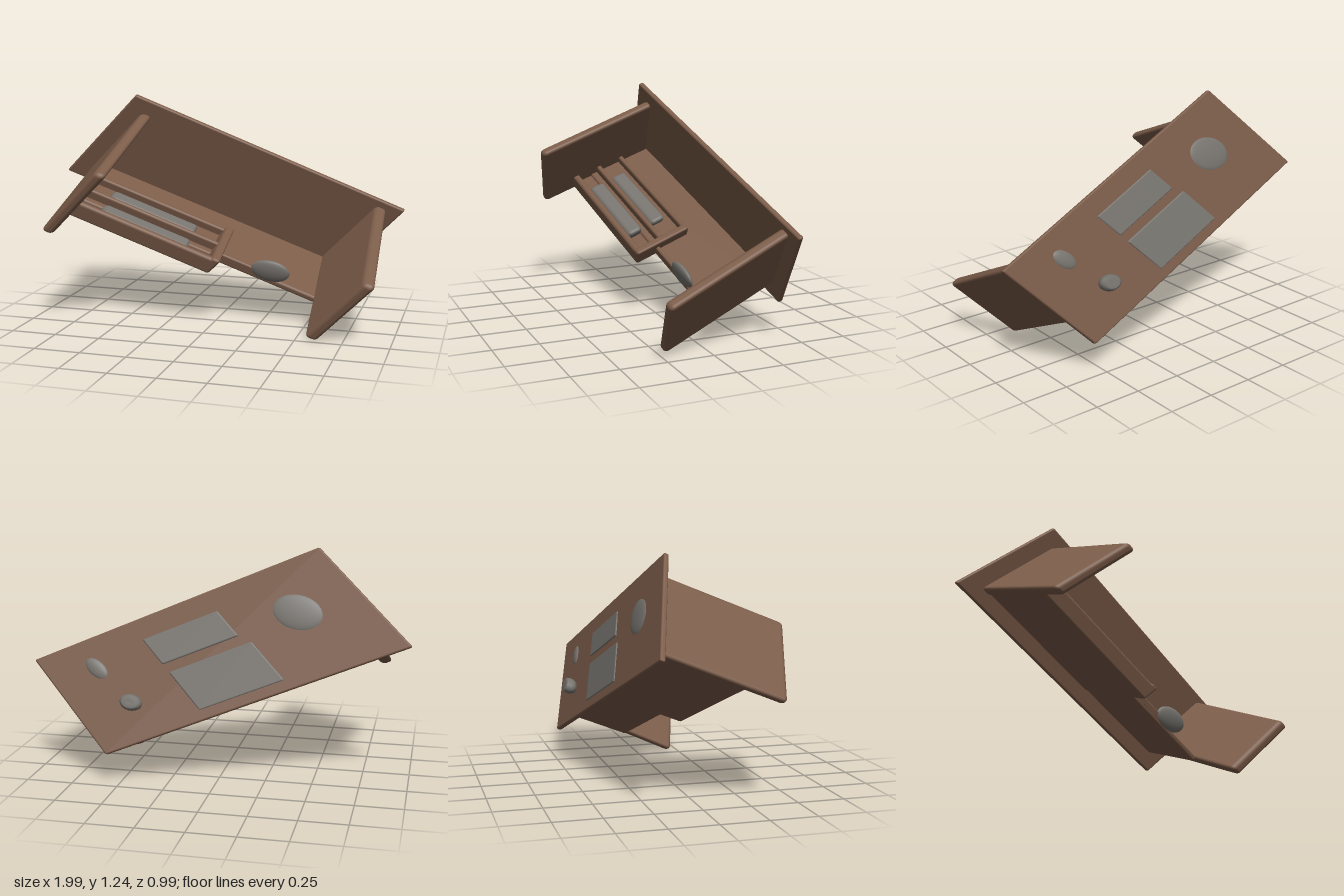
import * as THREE from 'three';
import { RoundedBoxGeometry } from 'three/addons/geometries/RoundedBoxGeometry.js';

// Desk axes: U along the desk, V from its back edge to its front, W down the legs.
const U = new THREE.Vector3(1.56, -0.613, -0.205);
const V = new THREE.Vector3(0.5, 0.465, 0.16);
const W = new THREE.Vector3(0, -0.26, 0.65);
const taper = new THREE.Vector3(-0.065, -0.01, -0.015); // the far end is a little narrower
const LU = U.length(), LV = V.length(), LW = W.length();
const skew = new THREE.Matrix4()
  .makeBasis(U.clone().normalize(), V.clone().normalize(), W.clone().normalize())
  .setPosition(-1, 0.8, -0.275);

const wood = new THREE.MeshStandardMaterial({ color: 0x7b5c49 });
const grey = new THREE.MeshStandardMaterial({ color: 0x77746f });

export function createModel() {
  const desk = new THREE.Group();
  desk.name = 'tiltedDesk';

  // Adds a geometry that was made in desk axes, skewed and tapered
  function add(name, geo, material) {
    const pos = geo.attributes.position;
    const uv = [];
    for (let i = 0; i < pos.count; i++) uv.push(pos.getX(i) / LU * pos.getY(i) / LV);
    geo.applyMatrix4(skew);
    const p = new THREE.Vector3();
    uv.forEach((k, i) => {
      p.fromBufferAttribute(pos, i).addScaledVector(taper, k);
      pos.setXYZ(i, p.x, p.y, p.z);
    });
    const mesh = new THREE.Mesh(geo, material);
    mesh.name = name;
    desk.add(mesh);
  }

  // Rounded board between two limits on each axis, as fractions of the desk;
  // leanU and leanV slide it sideways on its way down
  function board(name, [u0, u1], [v0, v1], [w0, w1], { material = wood, radius = 0.015, leanU = 0, leanV = 0 } = {}) {
    const size = [(u1 - u0) * LU, (v1 - v0) * LV, (w1 - w0) * LW];
    const r = Math.min(radius, Math.min(...size) * 0.48);
    const geo = new RoundedBoxGeometry(...size, 3, r);
    geo.translate((u0 + u1) / 2 * LU, (v0 + v1) / 2 * LV, (w0 + w1) / 2 * LW);
    geo.applyMatrix4(new THREE.Matrix4().makeShear(0, 0, 0, 0, leanU, leanV));
    add(name, geo, material);
  }

  // Flattened ellipsoid
  function pebble(name, u, v, w, ru, rv, rw) {
    const geo = new THREE.SphereGeometry(1, 24, 16);
    geo.scale(ru * LU, rv * LV, rw * LW);
    geo.translate(u * LU, v * LV, w * LW);
    add(name, geo, grey);
  }

  // Top, end panels and back panel
  board('tabletop', [0, 1], [0, 1], [-0.02, 0.02], { radius: 0.01 });
  board('leftEndPanel', [0.06, 0.098], [0.12, 0.87], [0, 1.01], { radius: 0.025, leanU: -0.03, leanV: -0.015 });
  board('rightEndPanel', [0.913, 0.953], [0.2, 0.94], [0, 1.01], { radius: 0.025, leanU: 0.075, leanV: -0.04 });
  board('backPanel', [0.07, 0.945], [0.15, 0.21], [0, 0.57]);

  // Open shelf unit beside one end panel
  board('shelfUnitBack', [0.075, 0.585], [0.14, 0.19], [0, 0.74]);
  board('shelfUnitSide', [0.56, 0.59], [0.14, 0.31], [0.27, 0.74]);
  board('shelfUnitTop', [0.075, 0.585], [0.16, 0.28], [0.26, 0.3]);
  board('shelf', [0.075, 0.575], [0.16, 0.29], [0.475, 0.515]);
  board('shelfUnitBottom', [0.07, 0.59], [0.14, 0.3], [0.685, 0.74], { radius: 0.018 });
  // Things lying on the shelves
  for (const w of [0.41, 0.62]) {
    board('shelfContents', [0.17, 0.48], [0.16, 0.265], [w - 0.07, w + 0.06], { material: grey, radius: 0.025 });
  }

  // Narrow ledge and smooth lump at the lower edge of the back panel
  board('ledge', [0.58, 0.75], [0.18, 0.25], [0.535, 0.57]);
  pebble('hangingLump', 0.755, 0.28, 0.56, 0.062, 0.11, 0.035);

  // Papers and small things on the desk
  board('largePaper', [0.38, 0.66], [0.09, 0.48], [-0.026, 0], { material: grey });
  board('smallPaper', [0.4, 0.66], [0.56, 0.82], [-0.026, 0], { material: grey });
  pebble('bowl', 0.2, 0.57, -0.012, 0.07, 0.17, 0.025);
  pebble('dish', 0.845, 0.73, -0.012, 0.028, 0.11, 0.025);

  // Cup standing on the tabletop
  const profile = [[0, 0], [0.035, 0], [0.05, 0.02], [0.056, 0.04], [0.05, 0.062], [0.038, 0.07], [0, 0.067]]
    .map(([r, h]) => new THREE.Vector2(r, h));
  const cup = new THREE.LatheGeometry(profile, 24);
  cup.rotateX(-Math.PI / 2);
  cup.translate(0.82 * LU, 0.34 * LV, -0.012 * LW);
  add('cup', cup, grey);

  // Stand the lowest corner on the ground
  desk.position.y = -new THREE.Box3().setFromObject(desk, true).min.y;
  return desk;
}
